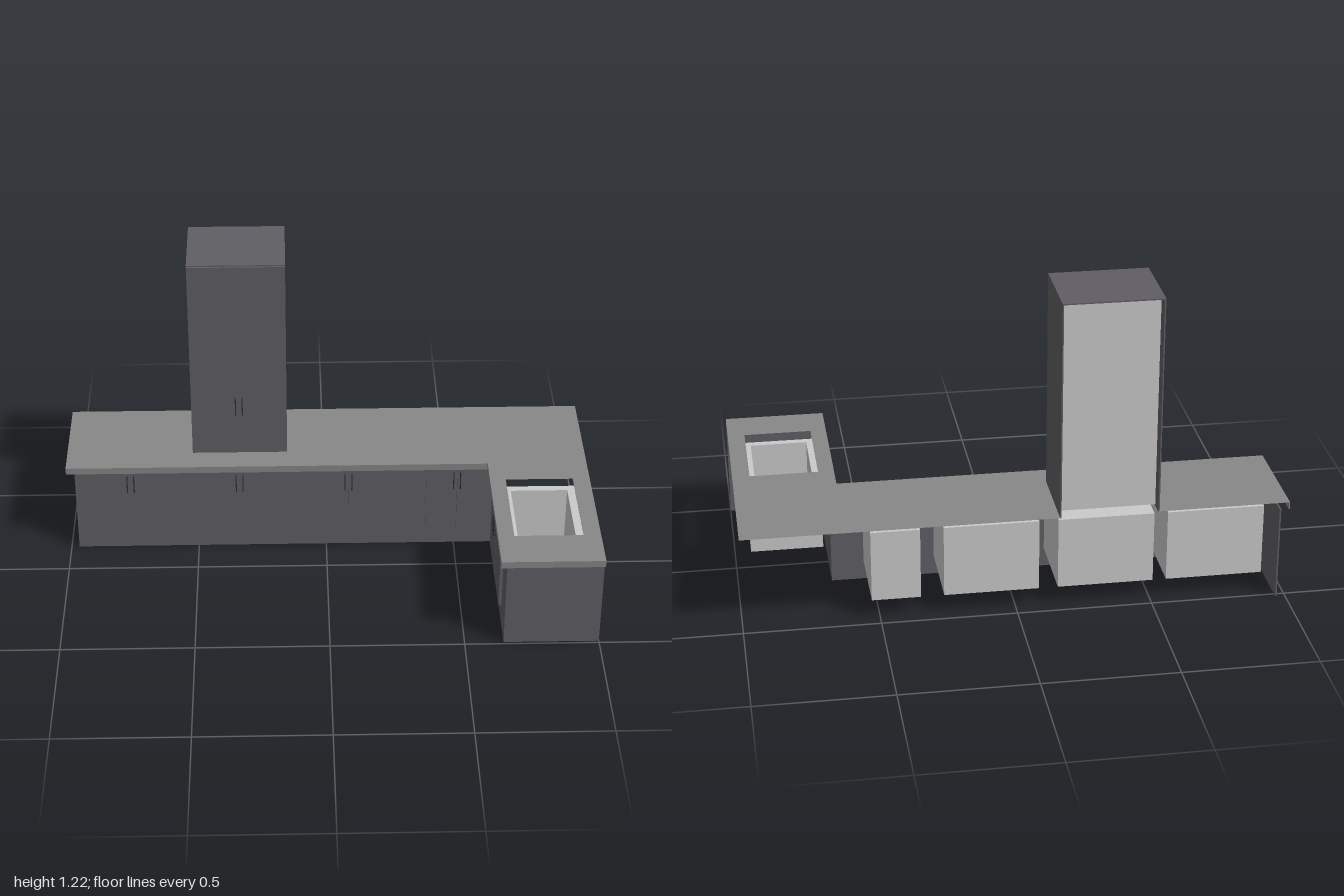
import * as THREE from 'three';

const cabinet = new THREE.MeshStandardMaterial({ color: 0x605e64 });
cabinet.name = 'cabinet grey';
const counter = new THREE.MeshStandardMaterial({ color: 0x878787, side: THREE.DoubleSide });
counter.name = 'counter grey';
const carcass = new THREE.MeshStandardMaterial({ color: 0xcacaca });
carcass.name = 'carcass light grey';
const metal = new THREE.MeshStandardMaterial({ color: 0x2c2b2e });
metal.name = 'handle dark';

// Box given by its low and high corners
function box(parent, name, mat, [x0, y0, z0], [x1, y1, z1]) {
  const mesh = new THREE.Mesh(new THREE.BoxGeometry(x1 - x0, y1 - y0, z1 - z0), mat);
  mesh.position.set((x0 + x1) / 2, (y0 + y1) / 2, (z0 + z1) / 2);
  mesh.name = name;
  parent.add(mesh);
  return mesh;
}

// Bracket handle standing on the z = 0 plane, facing +z
function handle(parent, x, y, out) {
  const g = new THREE.Group();
  g.name = 'handle';
  const w = 0.002, h = 0.036;
  box(g, 'handleBar', metal, [-w, -h, out - 0.004], [w, h, out]);
  for (const s of [-1, 1]) {
    const c = s * (h - 0.002);
    box(g, 'handlePost', metal, [-w, c - 0.002, 0], [w, c + 0.002, out]);
  }
  g.position.set(x, y, 0);
  parent.add(g);
}

// Pair of doors on the z = 0 plane, facing +z, with two handles
function doorPair(name, width, y0, y1, depth, handleY, out) {
  const g = new THREE.Group();
  g.name = name;
  for (const s of [-1, 1]) {
    const a = s * 0.002, b = s * (width / 2 - 0.002);
    box(g, 'door', cabinet, [Math.min(a, b), y0, 0], [Math.max(a, b), y1, depth]);
    const h = new THREE.Group();
    h.position.z = depth;
    handle(h, s * 0.013, handleY, out);
    g.add(h);
  }
  return g;
}

function createCounter() {
  const g = new THREE.Group();
  g.name = 'countertop';
  // L-shaped top with a recess for the tall cabinet and a sink opening
  const pts = [[-1, 0.12], [0.62, 0.12], [0.62, -0.515], [1, -0.515], [1, 0.52],
    [-0.152, 0.52], [-0.152, 0.218], [-0.513, 0.218], [-0.513, 0.52], [-1, 0.52]];
  const shape = new THREE.Shape(pts.map(p => new THREE.Vector2(...p)));
  shape.holes.push(new THREE.Path([[0.68, 0.01], [0.68, -0.355], [0.935, -0.355], [0.935, 0.01]]
    .map(p => new THREE.Vector2(...p))));
  const top = new THREE.Mesh(new THREE.ShapeGeometry(shape).rotateX(-Math.PI / 2), counter);
  top.name = 'counterTop';
  top.position.y = 0.388;
  g.add(top);
  // Edge strips on the exposed sides
  const y0 = 0.36, y1 = 0.387, t = 0.004;
  box(g, 'frontEdge', counter, [-1, y0, -0.12 - t], [0.62, y1, -0.12]);
  box(g, 'innerEdge', counter, [0.62, y0, -0.12 - t], [0.62 + t, y1, 0.515]);
  box(g, 'returnEdge', counter, [0.62, y0, 0.515 - t], [1, y1, 0.515]);
  box(g, 'endEdge', counter, [-1, y0, -0.52], [-1 + t, y1, -0.12]);
  return g;
}

function createBaseCabinets() {
  const g = new THREE.Group();
  g.name = 'baseCabinets';
  const t = 0.006, top = 0.36;
  // Outer panels, open at the back
  box(g, 'frontPanel', cabinet, [-0.97, 0, -0.145 - t], [0.645, top, -0.145]);
  box(g, 'endPanel', cabinet, [-0.97, 0, -0.515], [-0.97 + t, top, -0.145]);
  box(g, 'returnPanel', cabinet, [0.645, 0, -0.145 - t], [0.645 + t, top, 0.49]);
  box(g, 'returnEndPanel', cabinet, [0.645, 0, 0.49 - t], [1, top, 0.49]);
  // Carcass boxes behind the front
  for (const [a, b] of [[-0.92, -0.56], [-0.51, -0.155], [-0.085, 0.265], [0.35, 0.53]])
    box(g, 'carcassBox', carcass, [a, 0.075, -0.46], [b, 0.35, -0.145 - t]);
  // Doors along the main run
  for (const x of [-0.755, -0.335, 0.085]) {
    const d = doorPair('cabinetDoors', 0.42, 0.075, 0.355, 0.012, 0.305, 0.012);
    d.position.set(x, 0, -0.145);
    g.add(d);
  }
  const corner = doorPair('cornerDoors', 0.24, 0.075, 0.355, 0.012, 0.305, 0.012);
  corner.position.set(0.505, 0, -0.145);
  g.add(corner);
  // Doors under the sink, facing -x
  const s = doorPair('sinkDoors', 0.38, 0.075, 0.355, 0.012, 0.305, 0.014);
  s.rotation.y = -Math.PI / 2;
  s.position.set(0.645, 0, 0.173);
  g.add(s);
  return g;
}

function createSink() {
  const g = new THREE.Group();
  g.name = 'sink';
  const x0 = 0.67, x1 = 0.943, z0 = -0.018, z1 = 0.365, y0 = 0.075, y1 = 0.35, t = 0.029;
  box(g, 'sinkFloor', carcass, [x0, y0, z0], [x1, y0 + 0.02, z1]);
  box(g, 'sinkWall', carcass, [x0, y0, z0], [x0 + t, y1, z1]);
  box(g, 'sinkWall', carcass, [x1 - t, y0, z0], [x1, y1, z1]);
  box(g, 'sinkWall', carcass, [x0 + t, y0, z0], [x1 - t, y1, z0 + t]);
  box(g, 'sinkWall', carcass, [x0 + t, y0, z1 - t], [x1 - t, y1, z1]);
  return g;
}

function createTallCabinet() {
  const g = new THREE.Group();
  g.name = 'tallCabinet';
  const x0 = -0.515, x1 = -0.15, y0 = 0.386, y1 = 1.215, zb = -0.518, zf = -0.218, t = 0.005;
  // Shell, open at the back, with the carcass set inside
  box(g, 'leftSide', cabinet, [x1 - t, y0, zb], [x1, y1, zf]);
  box(g, 'rightSide', cabinet, [x0, y0, zb], [x0 + t, y1, zf]);
  box(g, 'topPanel', cabinet, [x0, y1 - t, zb], [x1, y1, zf]);
  box(g, 'frontPanel', cabinet, [x0, y0, zf - t], [x1, y1, zf]);
  box(g, 'tallCarcass', carcass, [x0 + t, y0 + 0.004, -0.465], [x1 - t, y1 - 0.008, zf - t]);
  const d = doorPair('tallDoors', x1 - x0, 0.395, 1.21, 0.007, 0.608, 0.015);
  d.position.set((x0 + x1) / 2, 0, zf);
  g.add(d);
  return g;
}

export function createModel() {
  const model = new THREE.Group();
  model.name = 'kitchenUnit';
  model.add(createCounter(), createBaseCabinets(), createSink(), createTallCabinet());
  return model;
}
